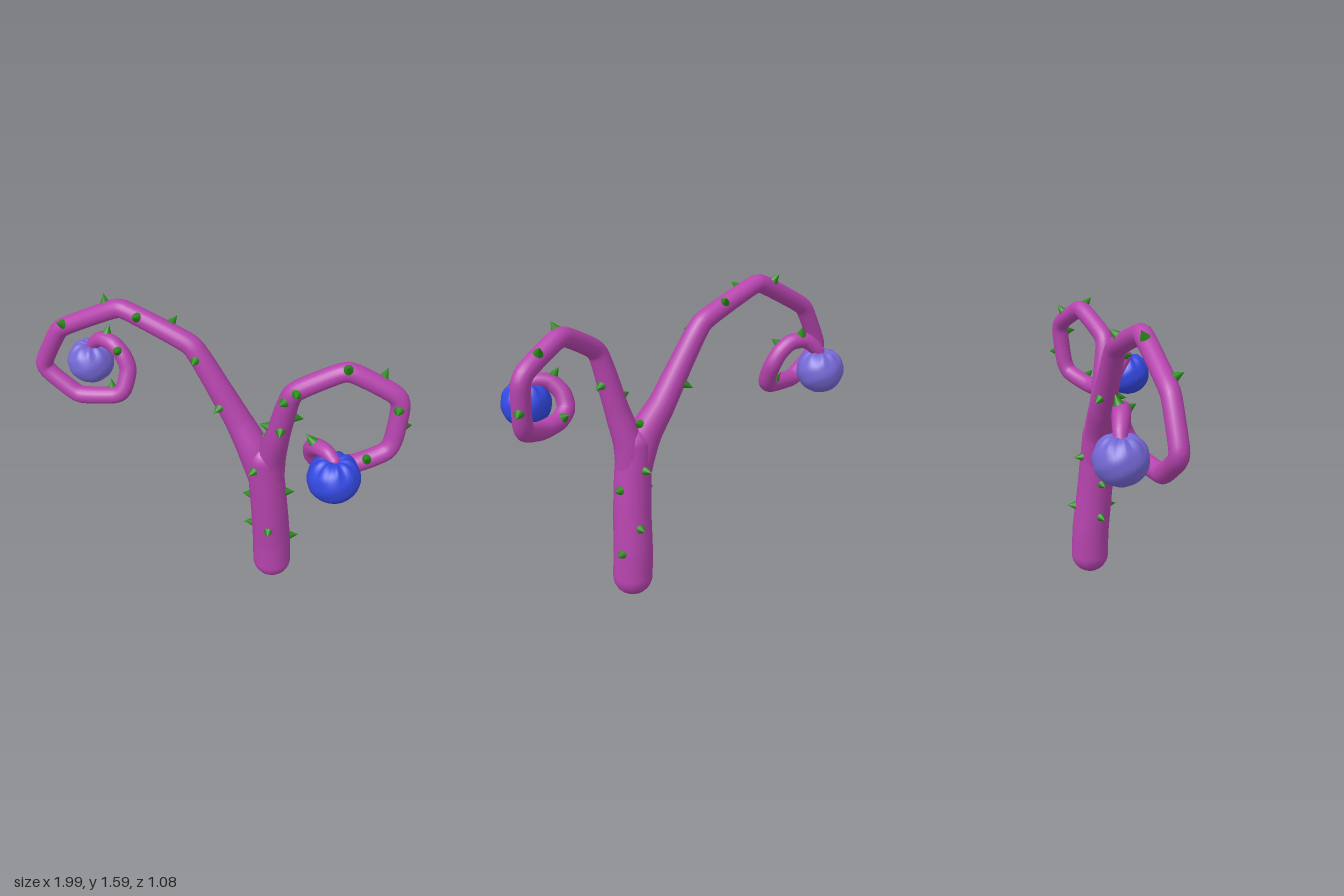
import * as THREE from 'three';

const mat = (color) => new THREE.MeshStandardMaterial({ color });
const V = (x, y, z) => new THREE.Vector3(x, y, z);

// Each row is x, y, z and radius along the centreline.
const TRUNK = [
  [0.338, 0.095, -0.01, 0.105], [0.33, 0.25, -0.008, 0.104], [0.315, 0.45, 0.008, 0.1],
  [0.295, 0.65, 0.018, 0.097], [0.275, 0.82, 0.022, 0.092],
];
const LONG_BRANCH = [
  [0.3, 0.62, 0.015, 0.085], [0.225, 0.84, 0.005, 0.088], [0.13, 1.0, -0.035, 0.071],
  [0.02, 1.18, -0.06, 0.062], [-0.085, 1.345, -0.085, 0.056], [-0.15, 1.405, -0.1, 0.053],
  [-0.45, 1.52, -0.155, 0.048], [-0.53, 1.518, -0.17, 0.048], [-0.81, 1.365, -0.222, 0.047],
  [-0.865, 1.305, -0.232, 0.047], [-0.953, 1.12, -0.25, 0.047], [-0.93, 1.06, -0.247, 0.047],
  [-0.79, 0.96, -0.222, 0.047], [-0.73, 0.95, -0.215, 0.047], [-0.57, 0.965, -0.215, 0.046],
  [-0.52, 1.0, -0.225, 0.046], [-0.5, 1.1, -0.27, 0.046], [-0.53, 1.17, -0.295, 0.045],
  [-0.59, 1.22, -0.325, 0.044], [-0.66, 1.22, -0.365, 0.042], [-0.715, 1.17, -0.402, 0.036],
  [-0.74, 1.125, -0.415, 0.03],
];
const SHORT_BRANCH = [
  [0.3, 0.62, 0.018, 0.085], [0.31, 0.82, 0.03, 0.078], [0.34, 1.0, 0.075, 0.064],
  [0.39, 1.25, 0.122, 0.053], [0.43, 1.33, 0.133, 0.05], [0.62, 1.435, 0.118, 0.048],
  [0.69, 1.44, 0.113, 0.048], [0.88, 1.345, 0.108, 0.047], [0.922, 1.28, 0.11, 0.047],
  [0.91, 1.1, 0.128, 0.047], [0.875, 1.03, 0.15, 0.047], [0.73, 0.98, 0.203, 0.047],
  [0.6, 0.985, 0.222, 0.047], [0.535, 1.03, 0.235, 0.046], [0.525, 1.1, 0.27, 0.044],
  [0.55, 1.152, 0.325, 0.041], [0.6, 1.162, 0.375, 0.036], [0.635, 1.135, 0.405, 0.03],
];

// Rough tip positions of the thorns; each snaps to the surface of its stem.
const TRUNK_THORNS = [
  [0.19, 0.55, 0], [0.19, 0.35, 0], [0.32, 0.38, 0.14], [0.45, 0.26, -0.03], [0.41, 0.6, 0.01],
  [0.37, 0.4, -0.12], [0.3, 0.7, -0.09], [0.21, 0.78, 0.13],
];
const LONG_THORNS = [
  [0.25, 0.92, -0.01], [0.02, 1.09, 0.03], [0.02, 1.09, -0.12], [-0.1, 1.34, 0],
  [-0.23, 1.48, -0.15], [-0.4, 1.53, -0.08], [-0.59, 1.56, -0.22], [-0.82, 1.41, -0.17],
  [-0.62, 1.29, -0.37], [-0.55, 1.22, -0.24], [-0.59, 1.02, -0.25],
];
const SHORT_THORNS = [
  [0.27, 1.07, 0.08], [0.36, 1.09, 0.17], [0.41, 1.15, 0.1], [0.43, 1.34, 0.2], [0.36, 1.28, 0.19],
  [0.66, 1.49, 0.16], [0.84, 1.44, 0.065], [0.91, 1.28, 0.18], [0.98, 1.15, 0.08],
  [0.79, 1.04, 0.24], [0.6, 1.02, 0.17], [0.5, 1.21, 0.32],
];

// A round tube with tapering radius, rounded ends and thorns.
function makeStem(name, rows, thorns, stemMat, thornMat) {
  const group = new THREE.Group();
  group.name = name;
  const curve = new THREE.CatmullRomCurve3(rows.map((r) => V(r[0], r[1], r[2])), false, 'catmullrom', 0.35);
  const radiusAt = (u) => {
    const f = curve.getUtoTmapping(u) * (rows.length - 1);
    const i = Math.min(Math.floor(f), rows.length - 2);
    return THREE.MathUtils.lerp(rows[i][3], rows[i + 1][3], f - i);
  };
  const rings = rows.length * 6, sides = 20;
  const geo = new THREE.TubeGeometry(curve, rings, 1, sides);
  const pos = geo.attributes.position, p = V(0, 0, 0);
  for (let i = 0; i <= rings; i++) {
    const c = curve.getPointAt(i / rings), r = radiusAt(i / rings);
    for (let j = 0; j <= sides; j++) {
      const k = i * (sides + 1) + j;
      p.fromBufferAttribute(pos, k).sub(c).multiplyScalar(r).add(c);
      pos.setXYZ(k, p.x, p.y, p.z);
    }
  }
  const tube = new THREE.Mesh(geo, stemMat);
  tube.name = name + 'Tube';
  group.add(tube);

  for (const row of [rows[0], rows[rows.length - 1]]) {
    const cap = new THREE.Mesh(new THREE.SphereGeometry(row[3], 20, 14), stemMat);
    cap.name = 'roundedEnd';
    cap.position.set(row[0], row[1], row[2]);
    group.add(cap);
  }

  for (const t of thorns) {
    const target = V(...t);
    let best = 0, bestD = Infinity;
    for (let i = 0; i <= 200; i++) {
      const d = curve.getPointAt(i / 200).distanceTo(target);
      if (d < bestD) { bestD = d; best = i / 200; }
    }
    const c = curve.getPointAt(best);
    const dir = target.sub(c).normalize();
    const thorn = new THREE.Mesh(new THREE.ConeGeometry(0.027, 0.055, 12), thornMat);
    thorn.name = 'thorn';
    thorn.position.copy(c).addScaledVector(dir, radiusAt(best) + 0.017);
    thorn.quaternion.setFromUnitVectors(V(0, 1, 0), dir);
    group.add(thorn);
  }
  return group;
}

// A berry with lobes around a sunken crown and shallow dents on its sides.
function makeFruit(name, x, y, z, color) {
  const geo = new THREE.SphereGeometry(1, 48, 32);
  const pos = geo.attributes.position, p = V(0, 0, 0);
  for (let i = 0; i < pos.count; i++) {
    p.fromBufferAttribute(pos, i);
    const a = Math.atan2(p.z, p.x), ring = Math.hypot(p.x, p.z), h = p.y;
    const crown = THREE.MathUtils.smoothstep(h, 0.1, 0.9) * Math.min(1, ring * 2);
    const dents = 0.02 * Math.sin(5 * a + 4 * h) * Math.sin(6 * h + 1) * ring;
    const r = 1 + dents + 0.045 * crown * Math.cos(9 * a);
    const sunk = h > 0 ? 0.2 * Math.exp(-ring * ring * 9) : 0;
    pos.setXYZ(i, p.x * r, h * r * 0.96 - sunk, p.z * r);
  }
  geo.computeVertexNormals();
  const fruit = new THREE.Mesh(geo, mat(color));
  fruit.name = name;
  fruit.scale.setScalar(0.127);
  fruit.position.set(x, y, z);
  return fruit;
}

export function createModel() {
  const model = new THREE.Group();
  model.name = 'thornyPlant';
  const stemMat = mat(0xb644ae), thornMat = mat(0x2a8a1a);
  model.add(
    makeStem('trunk', TRUNK, TRUNK_THORNS, stemMat, thornMat),
    makeStem('rightBranch', LONG_BRANCH, LONG_THORNS, stemMat, thornMat),
    makeStem('leftBranch', SHORT_BRANCH, SHORT_THORNS, stemMat, thornMat),
    makeFruit('rightFruit', -0.745, 1.045, -0.415, 0x7468d4),
    makeFruit('leftFruit', 0.64, 1.045, 0.41, 0x3348e0),
  );
  // Rest the rounded base on the ground.
  model.position.y = 0.01;
  return model;
}
